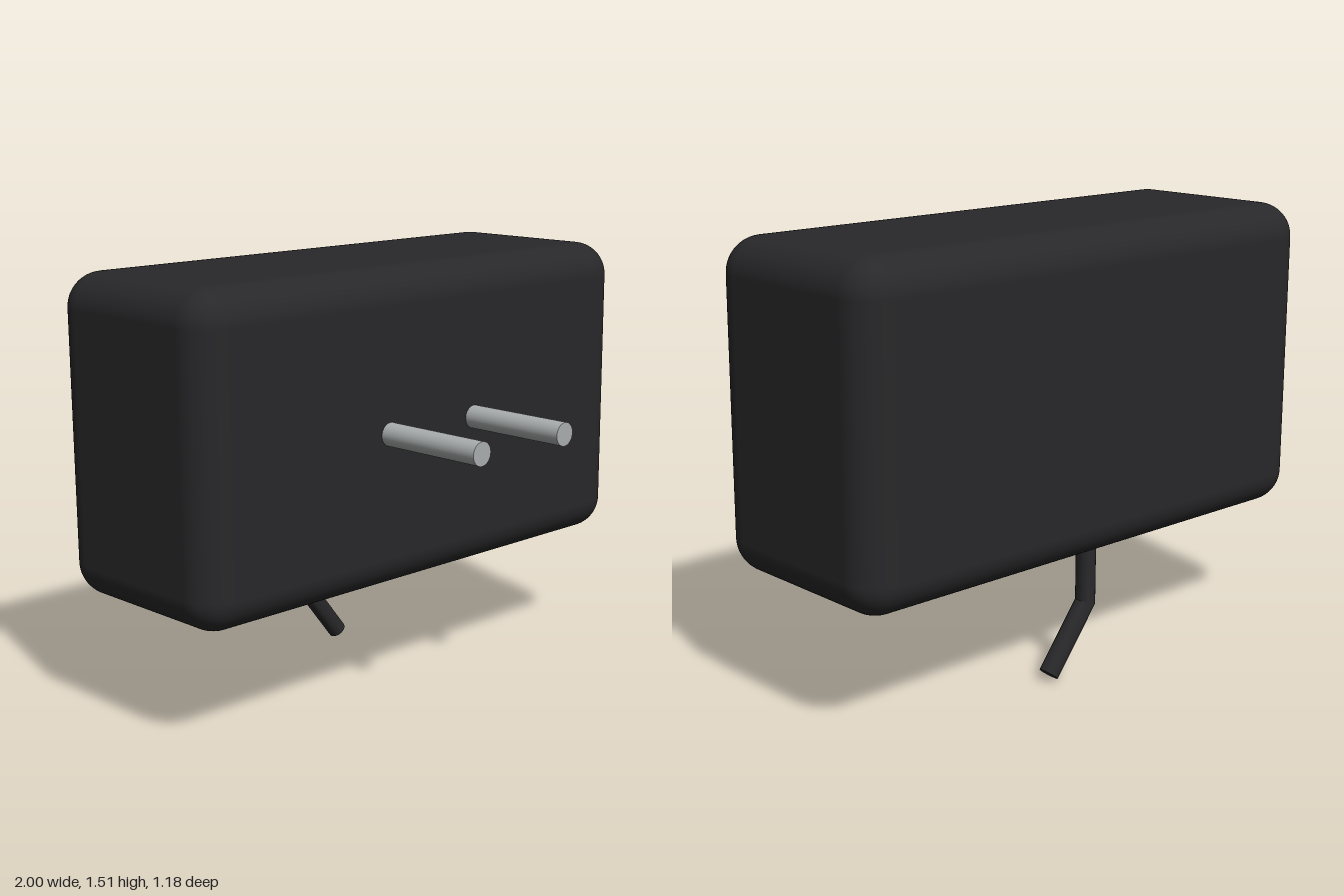
import * as THREE from 'three';
import { RoundedBoxGeometry } from 'three/addons/geometries/RoundedBoxGeometry.js';
import { toCreasedNormals } from 'three/addons/utils/BufferGeometryUtils.js';

const black = new THREE.MeshStandardMaterial({ color: 0x28282a });
const metal = new THREE.MeshStandardMaterial({ color: 0xaaaeae });

// Round cord with one mitred bend; each ring has a centre and a slanted x axis
function bentCord(radius, rings) {
  const geo = new THREE.CylinderGeometry(radius, radius, 2, 24, 2);
  const pos = geo.attributes.position;
  for (let i = 0; i < pos.count; i++) {
    const { centre, axis } = rings[1 - Math.round(pos.getY(i))];
    const x = pos.getX(i);
    pos.setXY(i, centre[0] + axis[0] * x, centre[1] + axis[1] * x);
  }
  return toCreasedNormals(geo, 0.5);
}

export function createModel() {
  const group = new THREE.Group();
  const add = (name, geometry, material, x, y, z) => {
    const mesh = new THREE.Mesh(geometry, material);
    mesh.name = name;
    mesh.position.set(x, y, z);
    group.add(mesh);
    return mesh;
  };

  // Rounded housing
  add('housing', new RoundedBoxGeometry(2, 1.1, 0.765, 8, 0.12), black, 0, 0.967, -0.206);

  // Pair of contact pins on the front
  for (const side of [-1, 1]) {
    const pin = add(side > 0 ? 'leftPin' : 'rightPin',
      new THREE.CylinderGeometry(0.041, 0.041, 0.44, 32), metal, side * 0.205, 0.967, 0.368);
    pin.rotation.x = Math.PI / 2;
  }

  // Cord leaving the underside near the back
  add('cord', bentCord(0.034, [
    { centre: [0, 0.46], axis: [1, 0] },
    { centre: [0, 0.243], axis: [1, 0.355] },
    { centre: [0.17, 0.025], axis: [0.78, 0.63] },
  ]), black, 0, 0, -0.5);

  return group;
}
